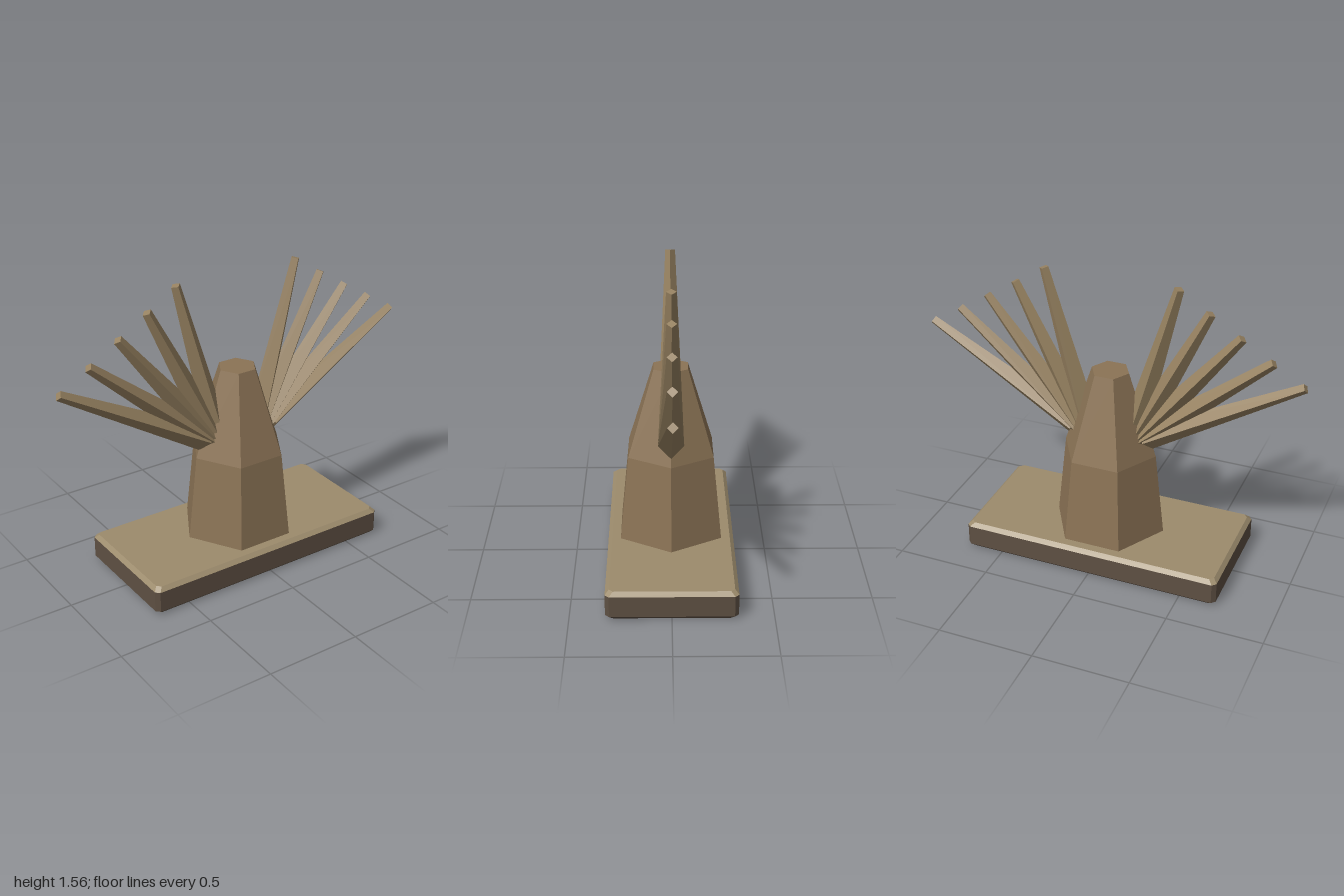
import * as THREE from 'three';

const paint = (color) => new THREE.MeshStandardMaterial({ color, flatShading: true });

// Skin a stack of rings (bottom to top, each counterclockwise from above), with optional caps
function loft(rings, { bottom = false, top = false } = {}) {
  const pos = [];
  const tri = (...pts) => pts.forEach((p) => pos.push(p.x, p.y, p.z));
  const n = rings[0].length;
  const low = rings[0], high = rings[rings.length - 1];
  const lowMid = new THREE.Vector3(0, low[0].y, 0);
  const highMid = new THREE.Vector3(0, high[0].y, 0);
  for (let i = 0; i < n; i++) {
    const j = (i + 1) % n;
    for (let k = 0; k < rings.length - 1; k++) {
      const a = rings[k], b = rings[k + 1];
      tri(a[i], a[j], b[j]);
      tri(a[i], b[j], b[i]);
    }
    if (bottom) tri(lowMid, low[j], low[i]);
    if (top) tri(highMid, high[i], high[j]);
  }
  const geometry = new THREE.BufferGeometry();
  geometry.setAttribute('position', new THREE.Float32BufferAttribute(pos, 3));
  geometry.computeVertexNormals();
  return geometry;
}

// Rectangle with cut corners
function slabRing(y, inset) {
  const x = 0.695 - inset, z = 0.325 - inset, c = 0.02;
  return [
    [x, z - c], [x, c - z], [x - c, -z], [c - x, -z],
    [-x, c - z], [-x, z - c], [c - x, z], [x - c, z],
  ].map(([px, pz]) => new THREE.Vector3(px, y, pz));
}

function hexRing(y, r) {
  return Array.from({ length: 6 }, (_, i) => {
    const a = (i * Math.PI) / 3;
    return new THREE.Vector3(r * Math.cos(a), y, -r * Math.sin(a));
  });
}

function part(name, geometry, material) {
  const mesh = new THREE.Mesh(geometry, material);
  mesh.name = name;
  return mesh;
}

// Four-sided tapered spike between two points
function spike(name, from, to, material) {
  const dir = to.clone().sub(from);
  const mesh = part(name, new THREE.CylinderGeometry(0.025, 0.066, dir.length(), 4), material);
  mesh.position.copy(from).add(to).multiplyScalar(0.5);
  mesh.rotation.z = Math.atan2(-dir.x, dir.y);
  return mesh;
}

export function createModel() {
  const model = new THREE.Group();
  model.name = 'wingedMonument';

  // Chamfered plinth with a lighter top
  model.add(part('plinthSides',
    loft([slabRing(0, 0.02), slabRing(0.02, 0), slabRing(0.13, 0)], { bottom: true }),
    paint(0x5e5043)));
  model.add(part('plinthTop',
    loft([slabRing(0.13, 0), slabRing(0.15, 0.02)], { top: true }),
    paint(0x9c8b6c)));

  // Six-sided tapering body
  model.add(part('body',
    loft([hexRing(0.15, 0.3), hexRing(0.6, 0.25), hexRing(1.05, 0.1)], { bottom: true, top: true }),
    paint(0x8b7355)));

  // A fan of five spikes on each side
  const spikePaint = paint(0x968160);
  for (const side of [1, -1]) {
    const wing = new THREE.Group();
    wing.name = side > 0 ? 'leftWing' : 'rightWing';
    for (let i = 0; i < 5; i++) {
      const from = new THREE.Vector3(side * (0.12 + 0.02 * i), 0.7, 0);
      const to = new THREE.Vector3(side * (0.35 + 0.16 * i), 1.55 - 0.1 * i, 0);
      wing.add(spike(`spike${i + 1}`, from, to, spikePaint));
    }
    model.add(wing);
  }
  return model;
}
